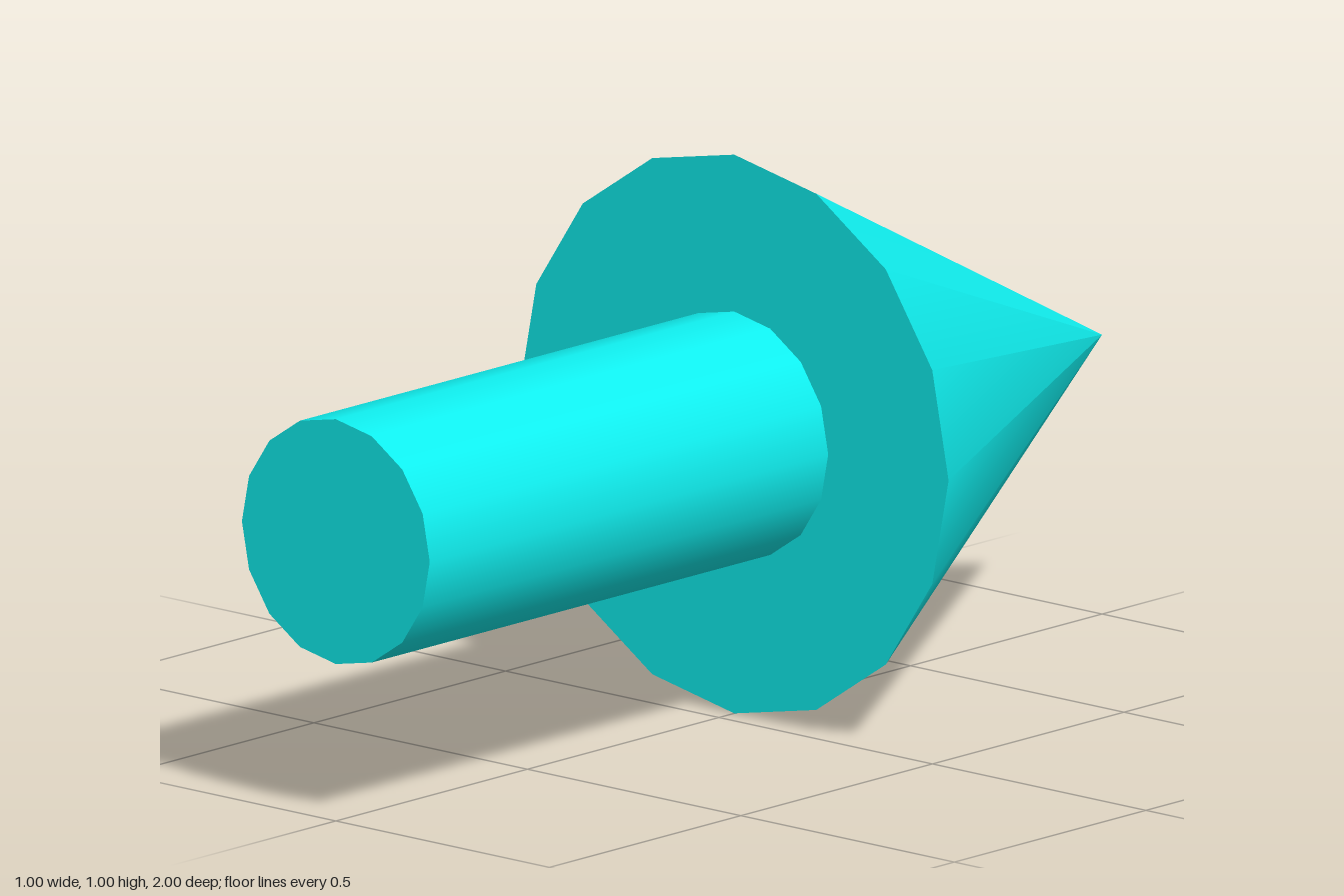
import * as THREE from 'three';

export function createModel() {
  const group = new THREE.Group();
  const material = new THREE.MeshStandardMaterial({ color: 0x10f0f0 });
  const SIDES = 16;
  const AXIS_Y = 0.502;   // height of the arrow's axis
  const NECK_Z = -0.04;   // where the shaft meets the head

  // Adds a round part lying along z, its narrow end towards -z
  function addPart(name, backRadius, frontRadius, zBack, zFront) {
    const geometry = new THREE.CylinderGeometry(backRadius, frontRadius, zFront - zBack, SIDES);
    geometry.rotateX(-Math.PI / 2);
    const mesh = new THREE.Mesh(geometry, material);
    mesh.name = name;
    mesh.position.set(0, AXIS_Y, (zBack + zFront) / 2);
    group.add(mesh);
  }

  // Pointed head and straight shaft
  addPart('arrowHead', 0, 0.502, -1, NECK_Z);
  addPart('arrowShaft', 0.22, 0.22, NECK_Z, 1);

  group.name = 'arrow';
  return group;
}
